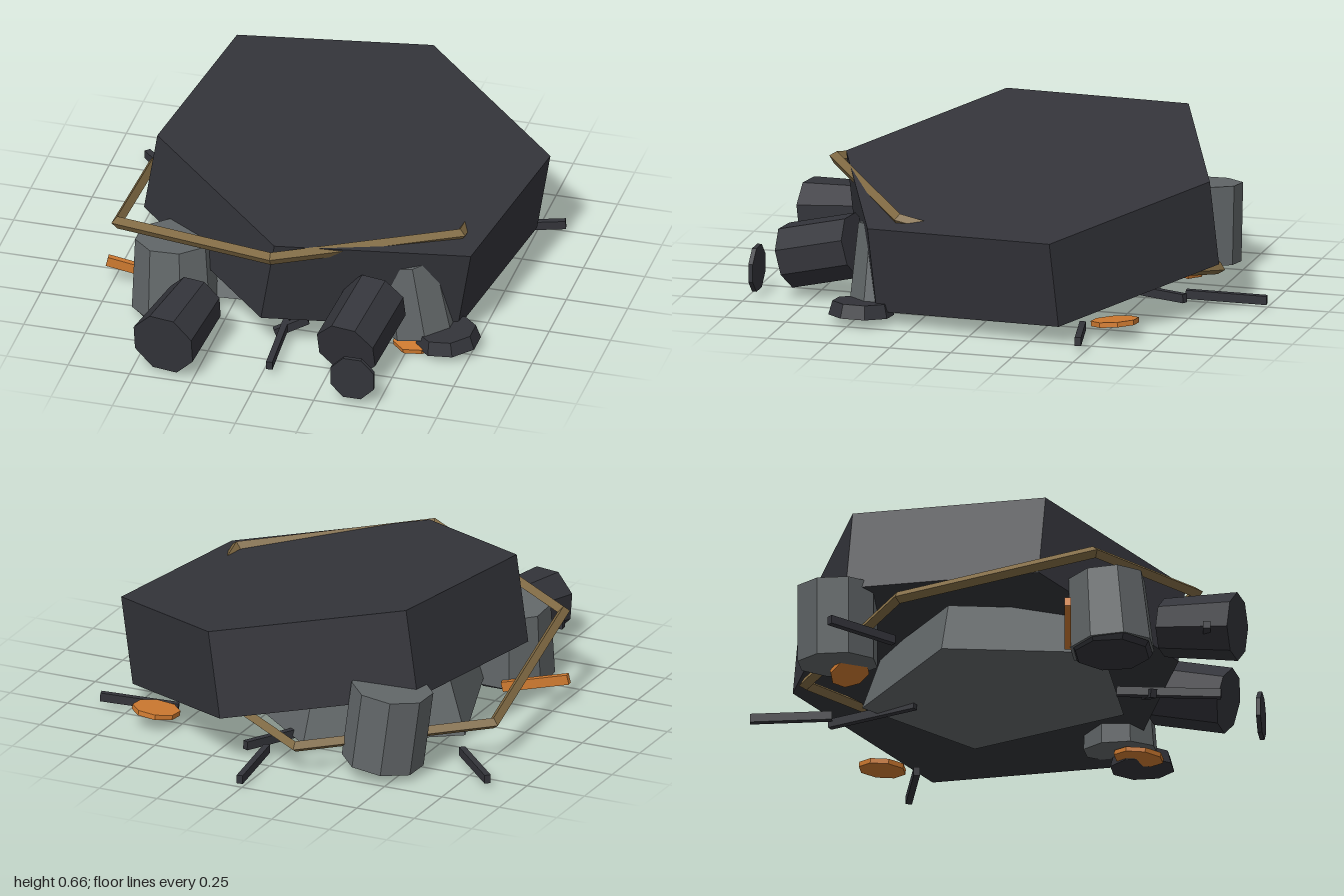
import * as THREE from 'three';

const V = (p) => new THREE.Vector3(...p);
const mat = (name, color) => {
  const m = new THREE.MeshStandardMaterial({ color, flatShading: true });
  m.name = name;
  return m;
};

export function createModel() {
  const model = new THREE.Group();
  model.name = 'wreckage';
  const dark = mat('charcoal', 0x33343a);
  const grey = mat('steelGrey', 0x626769);
  const gold = mat('tarnishedBrass', 0x806a43);
  const orange = mat('orange', 0xcf7a30);

  const add = (name, geometry, material, matrix) => {
    const mesh = new THREE.Mesh(geometry, material);
    mesh.name = name;
    mesh.applyMatrix4(matrix);
    model.add(mesh);
  };

  // Frame with y along a->b and z turned towards the given direction
  const frame = (a, b, towards) => {
    const y = b.clone().sub(a).normalize();
    const z = V(towards).addScaledVector(y, -V(towards).dot(y)).normalize();
    const x = new THREE.Vector3().crossVectors(y, z);
    return new THREE.Matrix4().makeBasis(x, y, z).setPosition(a.clone().add(b).multiplyScalar(0.5));
  };

  // Prism from point to point, one corner facing the given direction
  const prism = (name, from, to, rFrom, rTo, sides, material, corner = [0.38, 0, 0.92]) => {
    const a = V(from), b = V(to);
    add(name, new THREE.CylinderGeometry(rTo, rFrom, a.distanceTo(b), sides), material, frame(a, b, corner));
  };

  // Square bar from point to point
  const bar = (name, from, to, width, height, material) => {
    const a = V(from), b = V(to);
    add(name, new THREE.BoxGeometry(width, a.distanceTo(b), height), material, frame(a, b, [0, 1, 0]));
  };

  // Tilted hexagonal hull and the flatter five-sided lower body beneath it
  prism('hull', [0.06, 0.185, -0.075], [0.12, 0.535, -0.055], 0.784, 0.784, 6, dark, [0.11, 0.037, -0.775]);
  prism('lowerBody', [-0.05, 0.055, 0], [-0.06, 0.27, -0.01], 0.55, 0.46, 5, grey, [0, 0, -1]);

  // Stubby leg housings
  prism('leftLeg', [-0.455, 0.035, 0.49], [-0.465, 0.33, 0.47], 0.172, 0.155, 8, grey);
  prism('leftFoot', [-0.455, 0.012, 0.49], [-0.455, 0.035, 0.49], 0.15, 0.165, 8, dark);
  prism('rearLeg', [-0.42, 0.05, -0.6], [-0.46, 0.36, -0.595], 0.162, 0.162, 8, grey);
  prism('rightLeg', [0.52, 0.05, 0.4], [0.47, 0.36, 0.4], 0.15, 0.13, 8, grey);
  prism('rightFoot', [0.65, 0.03, 0.47], [0.645, 0.085, 0.47], 0.13, 0.115, 8, dark);

  // Fallen thrusters and a loose cap
  prism('thruster', [-0.37, 0.145, 0.975], [-0.32, 0.18, 0.68], 0.135, 0.115, 8, dark, [0.38, 0.92, 0]);
  prism('thruster', [0.34, 0.16, 0.85], [0.385, 0.235, 0.565], 0.13, 0.13, 8, dark, [0.38, 0.92, 0]);
  prism('looseCap', [0.4, 0.115, 0.98], [0.4, 0.115, 0.962], 0.095, 0.095, 8, dark, [0.38, 0.92, 0]);
  bar('thrusterStub', [-0.5, 0.1, 0.87], [-0.42, 0.1, 0.86], 0.03, 0.03, dark);

  // Orange discs and bar
  prism('orangeDisc', [0.53, 0.018, 0.47], [0.528, 0.036, 0.472], 0.1, 0.1, 8, orange);
  prism('orangeDisc', [0.591, 0.055, -0.551], [0.589, 0.075, -0.549], 0.095, 0.095, 8, orange);
  prism('orangeDisc', [-0.362, 0.035, -0.558], [-0.358, 0.05, -0.562], 0.08, 0.08, 8, orange);
  bar('orangeBar', [-0.77, 0.105, 0.355], [-0.5, 0.04, 0.32], 0.025, 0.04, orange);

  // Scattered struts
  const struts = [
    [[-0.865, 0.035, -0.575], [-0.645, 0.035, -0.35]],
    [[0.01, 0.035, -1.0], [0.045, 0.045, -0.68]],
    [[0.865, 0.05, -0.48], [0.56, 0.03, -0.41]],
    [[0.03, 0.045, 0.86], [0.01, 0.07, 0.45]],
    [[-0.04, 0.035, -0.34], [0.13, 0.05, -0.7]],
    [[-0.02, 0.04, 0.6], [0.1, 0.09, 0.55]],
  ];
  for (const [a, b] of struts) bar('strut', a, b, 0.025, 0.035, dark);

  // Bent hexagonal rail that pierces the hull
  const centre = V([-0.055, 0.295, 0]);
  const x = V([0.01, 0.48, 0.775]).sub(centre).normalize();
  const z = new THREE.Vector3().crossVectors(x, V([0.655, 0.425, 0.3]).sub(centre)).normalize();
  const y = new THREE.Vector3().crossVectors(z, x);
  add('rail', new THREE.TorusGeometry(0.79, 0.025, 4, 6), gold,
    new THREE.Matrix4().makeBasis(x, y, z).setPosition(centre));

  return model;
}
